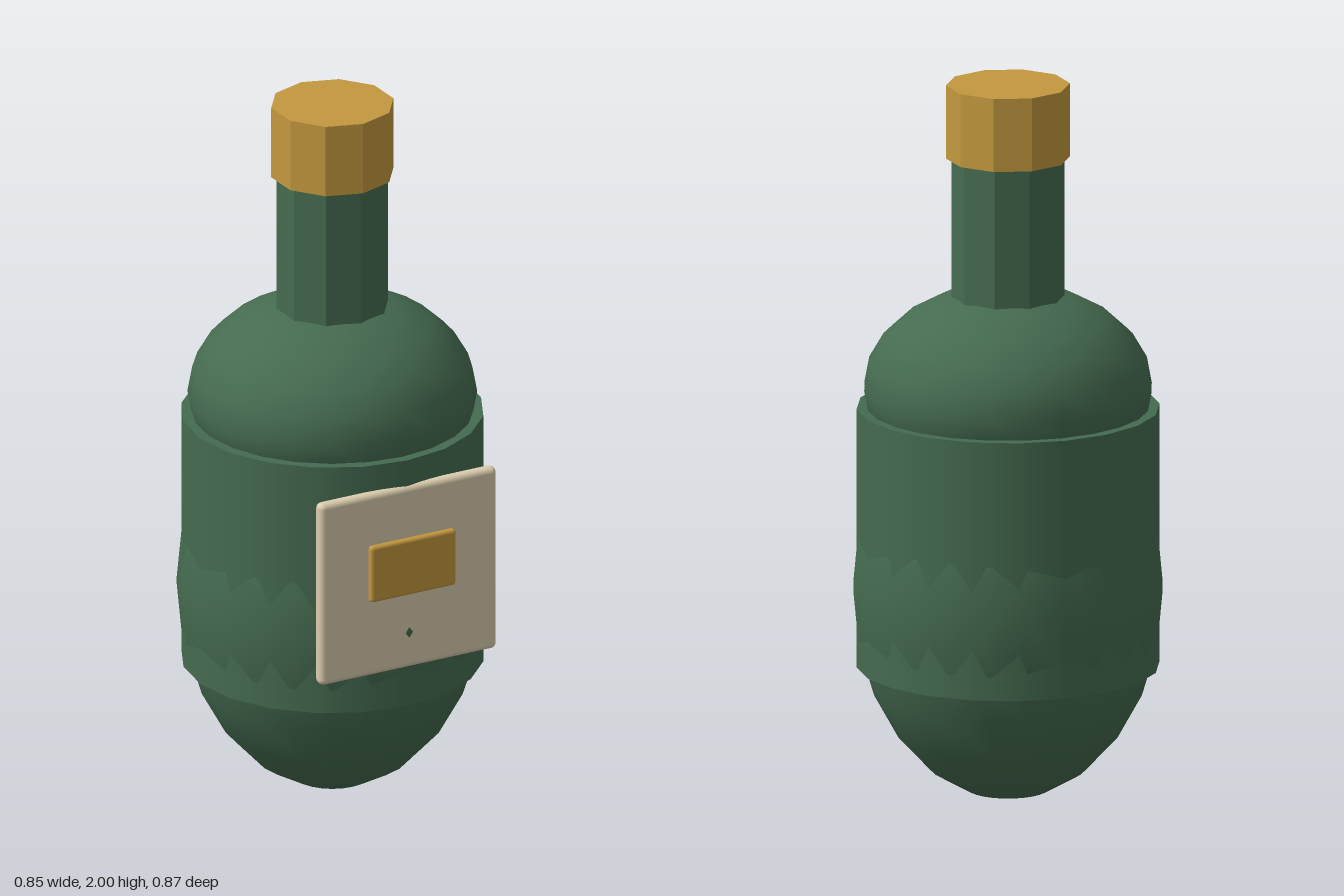
import * as THREE from 'three';
import { RoundedBoxGeometry } from 'three/addons/geometries/RoundedBoxGeometry.js';

const material = (color, flatShading = false) => new THREE.MeshStandardMaterial({ color, flatShading });

export function createModel() {
  const bottle = new THREE.Group();
  bottle.name = 'bottle';
  const green = material(0x456b50);
  const greenFlat = material(0x456b50, true);
  const goldFlat = material(0xc4993f, true);
  const gold = material(0xc4993f);
  const cream = material(0xdccdae);
  const axisZ = -0.0135; // the round parts sit slightly behind the centre

  const add = (name, geometry, mat, y, z = axisZ) => {
    const mesh = new THREE.Mesh(geometry, mat);
    mesh.name = name;
    mesh.position.set(0, y, z);
    bottle.add(mesh);
  };
  const ellipsoid = (r, ry) => new THREE.SphereGeometry(r, 24, 12).scale(1, ry / r, 1);
  const drum = (r, bottom, top, sides) => new THREE.CylinderGeometry(r, r, top - bottom, sides);

  // Rounded base, straight body and domed shoulder
  add('base', ellipsoid(0.425, 0.59), green, 0.59);
  add('body', drum(0.414, 0.37, 1.095, 20), green, (0.37 + 1.095) / 2);
  add('shoulder', ellipsoid(0.395, 0.28), green, 1.15);

  // Faceted neck and stopper
  add('neck', drum(0.155, 1.3, 1.82, 10), greenFlat, 1.56);
  add('stopper', drum(0.17, 1.795, 2, 10), goldFlat, 1.8975);

  // Label with a small plaque in front of it
  add('label', new RoundedBoxGeometry(0.555, 0.535, 0.038, 2, 0.016), cream, 0.753, 0.391);
  add('plaque', new RoundedBoxGeometry(0.268, 0.165, 0.023, 2, 0.01), gold, 0.794, 0.4245);

  return bottle;
}
